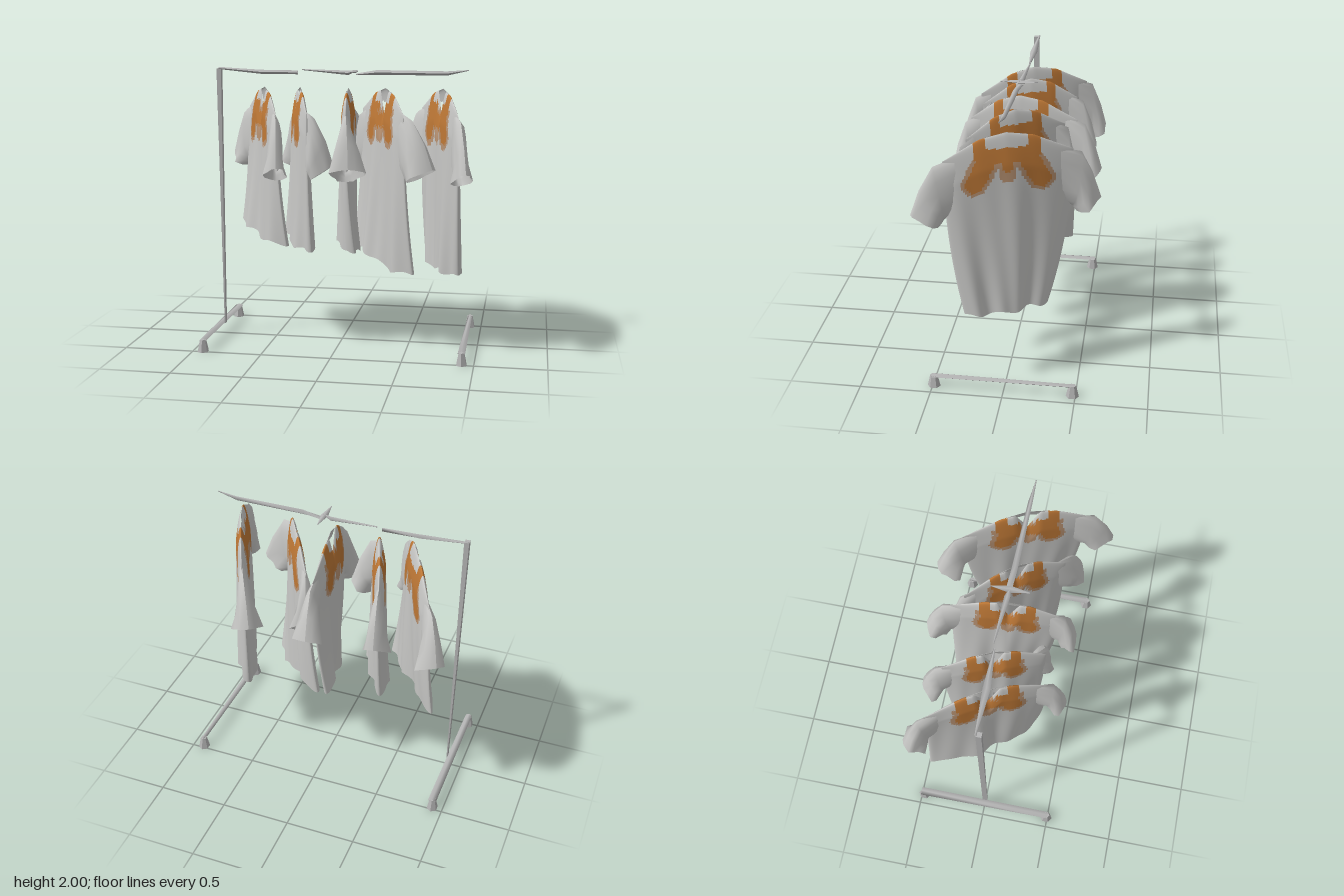
import * as THREE from 'three';

const mat = (name, color, side = THREE.DoubleSide) => {
  const m = new THREE.MeshStandardMaterial({ color, side });
  m.name = name;
  return m;
};
const { lerp, smoothstep } = THREE.MathUtils;
const mix = (a, b, t) => [lerp(a[0], b[0], t), lerp(a[1], b[1], t)];

// Plan curve through back, middle and front points, s = -1..1
const bow = ([b, m, f], s) =>
  [0, 1].map(k => m[k] + s * (f[k] - b[k]) / 2 + s * s * ((f[k] + b[k]) / 2 - m[k]));

// Grid surface; pick(i, j) chooses the material of each cell
function grid(nu, nv, point, flip = false, pick = () => 0) {
  const pos = [], cells = [[], [], []];
  for (let j = 0; j <= nv; j++)
    for (let i = 0; i <= nu; i++) pos.push(...point(i / nu, j / nv));
  for (let j = 0; j < nv; j++)
    for (let i = 0; i < nu; i++) {
      const a = j * (nu + 1) + i, b = a + 1, c = a + nu + 1, d = c + 1;
      const quad = flip ? [a, b, c, b, d, c] : [a, c, b, b, c, d];
      cells[pick((i + 0.5) / nu, (j + 0.5) / nv)].push(...quad);
    }
  const g = new THREE.BufferGeometry();
  g.setAttribute('position', new THREE.Float32BufferAttribute(pos, 3));
  g.setIndex(cells.flat());
  let start = 0;
  cells.forEach((c, k) => {
    if (c.length) g.addGroup(start, c.length, k);
    start += c.length;
  });
  g.computeVertexNormals();
  return g;
}

// Distance from (x, y) to a segment, used for the rounded yoke print
function segDist(x, y, x0, y0, x1, y1) {
  const dx = x1 - x0, dy = y1 - y0;
  const t = THREE.MathUtils.clamp(((x - x0) * dx + (y - y0) * dy) / (dx * dx + dy * dy), 0, 1);
  return Math.hypot(x - x0 - t * dx, y - y0 - t * dy);
}

// Print with two drooping lobes: 0 plain, 1 orange, 2 tan border
function yokePrint(w, y, side) {
  const a = Math.abs(w);
  if (y > 1.76 && (a < 0.13 || a > 0.21)) return 0;
  const collar = y < 1.83 ? segDist(a, y, 0.165, 1.83, 0.165, 1.7) + 0.02 : 1;
  if (side < 0) {
    const d = Math.min(collar, segDist(a, y, 0.11, 1.74, 0.165, 1.54), segDist(a, y, 0, 1.63, 0.1, 1.64) + 0.01);
    if (d < 0.062) return 1;
    return d < 0.094 && y < 1.72 || segDist(a, y, 0, 1.6, 0, 1.53) < 0.055 ? 2 : 0;
  }
  const band = segDist(a, y, 0, 1.72, 0.14, 1.72);
  const d = Math.min(collar, band, segDist(a, y, 0.13, 1.68, 0.215, 1.525));
  if (d < 0.06 || segDist(a, y, 0, 1.7, 0, 1.63) < 0.028) return 1;
  return d < 0.086 && y < 1.7 || segDist(a, y, 0, 1.7, 0, 1.575) < 0.046 ? 2 : 0;
}

// Upper edge: raised collar, sloping shoulders, open throat on one face
function topEdge(s, side) {
  const a = Math.abs(s);
  const y = a < 0.42 ? 1.86 - 0.09 * a : lerp(1.822, 1.69, (a - 0.42) / 0.58);
  return side < 0 ? y - 0.2 * Math.max(0, 1 - a / 0.2) : y;
}

function makeShirt(d, fabrics, seed) {
  const shirt = new THREE.Group();
  shirt.name = 'shirt';
  const along = new THREE.Vector2(d.top[2][0] - d.top[0][0], d.top[2][1] - d.top[0][1]).normalize();
  const nx = along.y, nz = -along.x;

  // Two body faces meeting at the side seams and shoulders
  for (const side of [1, -1]) {
    const yAt = (s, v) => lerp(topEdge(s, side), lerp(d.hemY[0], d.hemY[1], smoothstep(s, -0.5, 0.6)), v);
    const sv = (u, t) => [Math.sin((u - 0.5) * Math.PI), Math.pow(t, 1.7)];
    const point = (u, t) => {
      const [s, v] = sv(u, t);
      const p = mix(bow(d.top, s), bow(d.hem, s), Math.pow(v, 2.1));
      const round = Math.sqrt(Math.max(0, 1 - s * s));
      const neck = 0.1 * Math.max(0, 1 - Math.abs(s) / 0.42);
      const shoulder = Math.max(neck, Math.min(1, Math.sqrt(v * 6)));
      const fold = v * round * (0.016 * Math.sin(7 * s + seed) + 0.009 * Math.sin(13 * s - seed * 2 + 3 * v));
      const off = side * round * shoulder * (0.04 + 0.022 * v) + fold;
      const wave = 0.012 * v * v * Math.sin(9 * s + seed * 3);
      return [p[0] + nx * off, yAt(s, v) + wave, p[1] + nz * off];
    };
    const body = new THREE.Mesh(grid(76, 56, point, side > 0, (u, t) => {
      const [s, v] = sv(u, t);
      return yokePrint(s * 0.41, yAt(s, v), side);
    }), fabrics);
    body.name = side > 0 ? 'shirtBack' : 'shirtFront';
    shirt.add(body);
  }

  // Short drooping sleeves lofted from the shoulder to a flared cuff
  [-1, 1].forEach((end, k) => {
    const root = bow(d.top, end * 0.8), edge = bow(d.top, end), [cx, cz, width] = d.cuffs[k];
    const cuff = [cx, cz];
    const dir = new THREE.Vector2(cx - root[0], cz - root[1]).normalize();
    const rings = [ // top plan, top height, lower plan, lower height, half thickness
      [root, 1.71, root, 1.32, 0.025],
      [mix(edge, cuff, 0.3), 1.66, edge, 1.28, 0.05],
      [mix(edge, cuff, 0.72), 1.5, mix(edge, cuff, 0.05), 1.26, width * 0.75],
      [cuff, 1.33, mix(edge, cuff, 0.15), 1.23, width],
    ];
    const sleeve = new THREE.Mesh(grid(12, 3, (u, v) => {
      const [a, ya, b, yb, th] = rings[Math.round(v * 3)];
      const ang = u * Math.PI * 2, c = (1 + Math.cos(ang)) / 2;
      const p = mix(b, a, c);
      const w = th * Math.sin(ang) * (1 + 0.3 * v * Math.sin(3 * ang + seed));
      return [p[0] + dir.y * w, lerp(yb, ya, c), p[1] - dir.x * w];
    }), fabrics[0]);
    sleeve.name = end > 0 ? 'frontSleeve' : 'backSleeve';
    shirt.add(sleeve);
  });
  return shirt;
}

// Faceted bar through [x, y, z, halfWidth, halfHeight] sections along x
function taperedRail(sections) {
  return grid(4, sections.length - 1, (u, v) => {
    const [x, y, z, w, h] = sections[Math.round(v * (sections.length - 1))];
    const a = u * Math.PI * 2;
    return [x, y + Math.sin(a) * h, z + Math.cos(a) * w];
  });
}

export function createModel() {
  const model = new THREE.Group();
  model.name = 'clothesRack';
  const metal = mat('rack metal', 0xb4b4b4);
  // The print is on the outside of the cloth only
  const fabrics = [mat('shirt grey', 0xc8c8c6), mat('yoke orange', 0xbe7836, THREE.FrontSide),
    mat('yoke border tan', 0xb89272, THREE.FrontSide)];
  const add = (name, geo, x = 0, y = 0, z = 0) => {
    const m = new THREE.Mesh(geo, metal);
    m.name = name;
    m.position.set(x, y, z);
    model.add(m);
    return m;
  };

  // Hanging rail in slender faceted lengths
  [
    [[-0.92, 1.992, -0.02, 0.006, 0.008], [-0.6, 1.967, -0.015, 0.026, 0.015], [-0.33, 1.965, -0.02, 0.006, 0.014]],
    [[-0.3, 1.985, -0.03, 0.004, 0.004], [0.04, 1.965, -0.01, 0.02, 0.016], [0.1, 1.982, 0, 0.005, 0.004]],
    [[0.1, 1.955, -0.01, 0.02, 0.006], [0.25, 1.97, 0, 0.02, 0.017], [0.75, 1.967, 0.01, 0.015, 0.015], [0.9, 1.99, 0.02, 0.003, 0.003]],
  ].forEach(s => add('rail', taperedRail(s)));
  // Thin cross hook on the rail
  const hook = add('hook', taperedRail([[-0.13, 0, 0, 0.003, 0.003], [0, 0, 0, 0.025, 0.012], [0.13, 0, 0, 0.003, 0.003]]), 0.09, 1.975, 0);
  hook.rotation.y = Math.PI / 2;

  // Blade-like upright, narrowing towards the foot
  const post = new THREE.BoxGeometry(0.034, 1.91, 0.038);
  const pp = post.attributes.position;
  for (let i = 0; i < pp.count; i++) if (pp.getY(i) < 0 && pp.getX(i) < 0) pp.setX(i, 0.01);
  post.computeVertexNormals();
  add('post', post, -0.91, 1.035, 0);

  // Foot bars with a caster at each end
  for (const [x, w0, w1] of [[-0.925, 0.025, 0.03], [0.915, 0.026, 0.016]]) {
    const bar = add('footBar', taperedRail([[-0.5, 0, 0, w0, 0.017], [0.5, 0, 0, w1, 0.014]]), x, 0.083, 0);
    bar.rotation.y = Math.PI / 2;
    for (const z of [-0.48, 0.49]) {
      const geo = new THREE.CylinderGeometry(0.03, 0.054, 0.088, 6).toNonIndexed();
      geo.scale(0.75, 1, 0.85);
      geo.computeVertexNormals();
      add('caster', geo, x, 0.044, z);
    }
  }

  // Shirts: plan points of shoulders and hem (back, middle, front), cuffs with half width
  [
    { top: [[-0.79, -0.4], [-0.58, -0.02], [-0.41, 0.35]], hem: [[-0.85, -0.4], [-0.6, 0], [-0.35, 0.3]],
      cuffs: [[-0.9, -0.54, 0.1], [-0.38, 0.49, 0.075]], hemY: [0.82, 0.76] },
    { top: [[-0.43, -0.36], [-0.32, -0.03], [-0.2, 0.3]], hem: [[-0.44, -0.3], [-0.33, 0], [-0.18, 0.26]],
      cuffs: [[-0.45, -0.51, 0.09], [-0.02, 0.25, 0.08]], hemY: [0.78, 0.71] },
    { top: [[0.02, -0.4], [0.04, 0], [0.08, 0.34]], hem: [[-0.06, -0.38], [0.04, 0], [0.13, 0.26]],
      cuffs: [[0.01, -0.58, 0.095], [0.12, 0.47, 0.115]], hemY: [0.75, 0.71] },
    { top: [[0.1, -0.32], [0.31, 0], [0.48, 0.31]], hem: [[0.04, -0.29], [0.3, 0], [0.55, 0.28]],
      cuffs: [[0.08, -0.4, 0.09], [0.69, 0.4, 0.085]], hemY: [0.66, 0.57] },
    { top: [[0.53, -0.42], [0.72, 0], [0.86, 0.39]], hem: [[0.6, -0.27], [0.74, 0], [0.87, 0.27]],
      cuffs: [[0.42, -0.59, 0.1], [0.93, 0.6, 0.065]], hemY: [0.57, 0.57] },
  ].forEach((d, i) => model.add(makeShirt(d, fabrics, 0.7 + i * 1.9)));

  return model;
}
